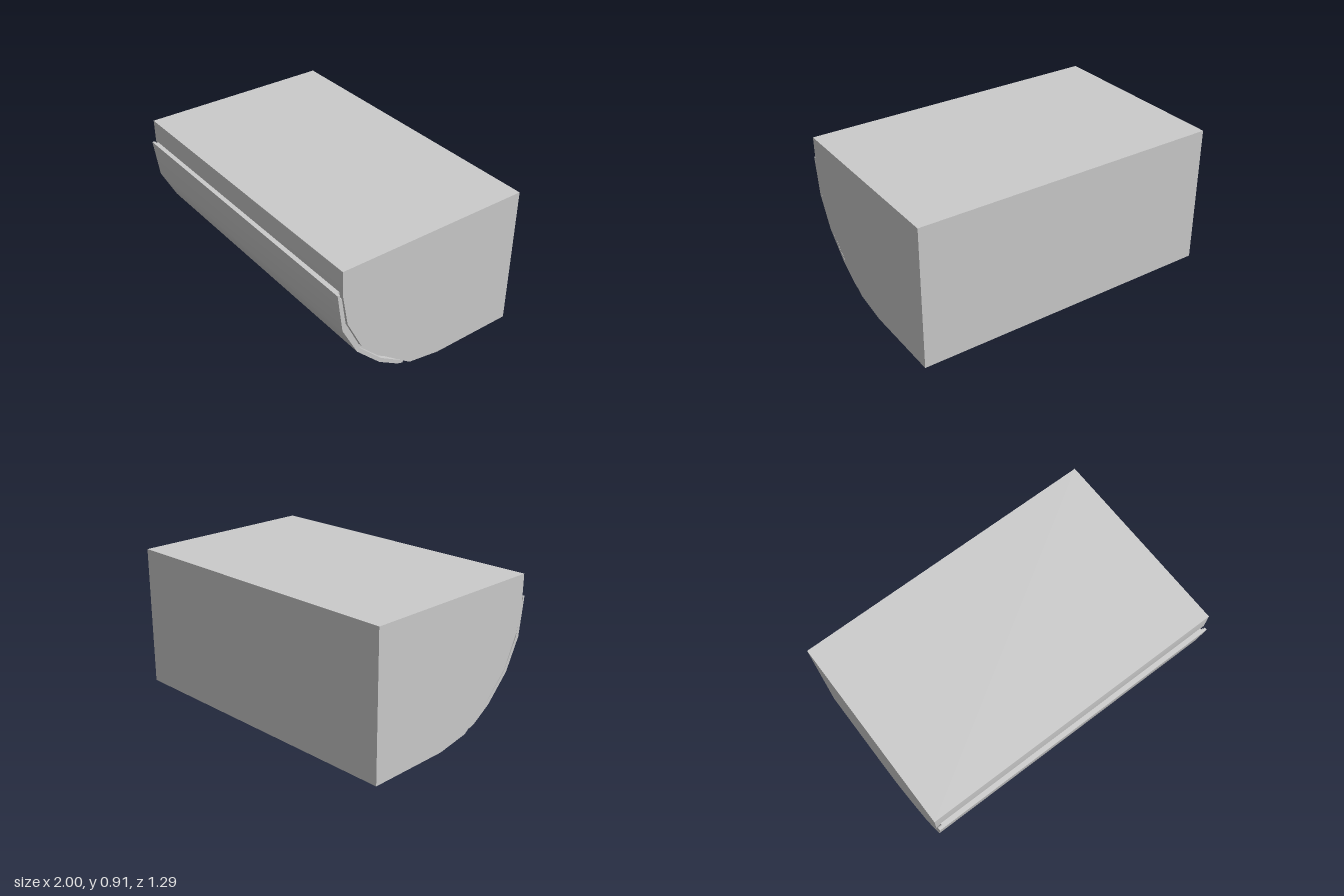
import * as THREE from 'three';
import { toCreasedNormals } from 'three/addons/utils/BufferGeometryUtils.js';

const material = new THREE.MeshStandardMaterial({ color: 0xcccccc });

// Extrudes a side profile of [z, y] points across the width, centred on x = 0
function sideProfile(name, points, width) {
  const shape = new THREE.Shape(points.map(([z, y]) => new THREE.Vector2(z, y)));
  const geometry = new THREE.ExtrudeGeometry(shape, { depth: width, bevelEnabled: false });
  geometry.translate(0, 0, -width / 2).rotateY(-Math.PI / 2);
  const mesh = new THREE.Mesh(toCreasedNormals(geometry, 0.5), material);
  mesh.name = name;
  return mesh;
}

export function createModel() {
  const model = new THREE.Group();
  model.name = 'curvedFrontCabinet';

  // Front curve of the body, from the top down
  const bodyCurve = [[0.615, 0.76], [0.58, 0.55], [0.48, 0.345], [0.32, 0.19], [0.19, 0.09]];
  // Outer and inner faces of the cover, both from the top down
  const coverOuter = [[0.645, 0.765], [0.61, 0.515], [0.507, 0.317], [0.345, 0.155], [0.21, 0.07], [0.17, 0.056]];
  const coverInner = [[0.628, 0.765], [0.628, 0.74], [0.617, 0.735], [0.585, 0.525], [0.485, 0.33], [0.335, 0.18], [0.165, 0.069]];

  // Box body with a rounded lower front
  model.add(sideProfile('body', [
    [-0.645, 0], [-0.1, 0], [0.12, 0.038],
    ...[...bodyCurve].reverse(),
    [0.617, 0.91], [-0.645, 0.91],
  ], 2));

  // Curved front cover
  model.add(sideProfile('frontCover', [...coverOuter, ...[...coverInner].reverse()], 1.99));

  // Liner filling the narrow gap behind the cover, set in from its ends
  model.add(sideProfile('coverLiner', [
    [0.635, 0.764], [0.59, 0.52], [0.49, 0.325], [0.337, 0.172], [0.2, 0.085],
    ...[...bodyCurve].reverse().map(([z, y]) => [z - 0.005, y + 0.004]),
  ], 1.94));

  return model;
}
